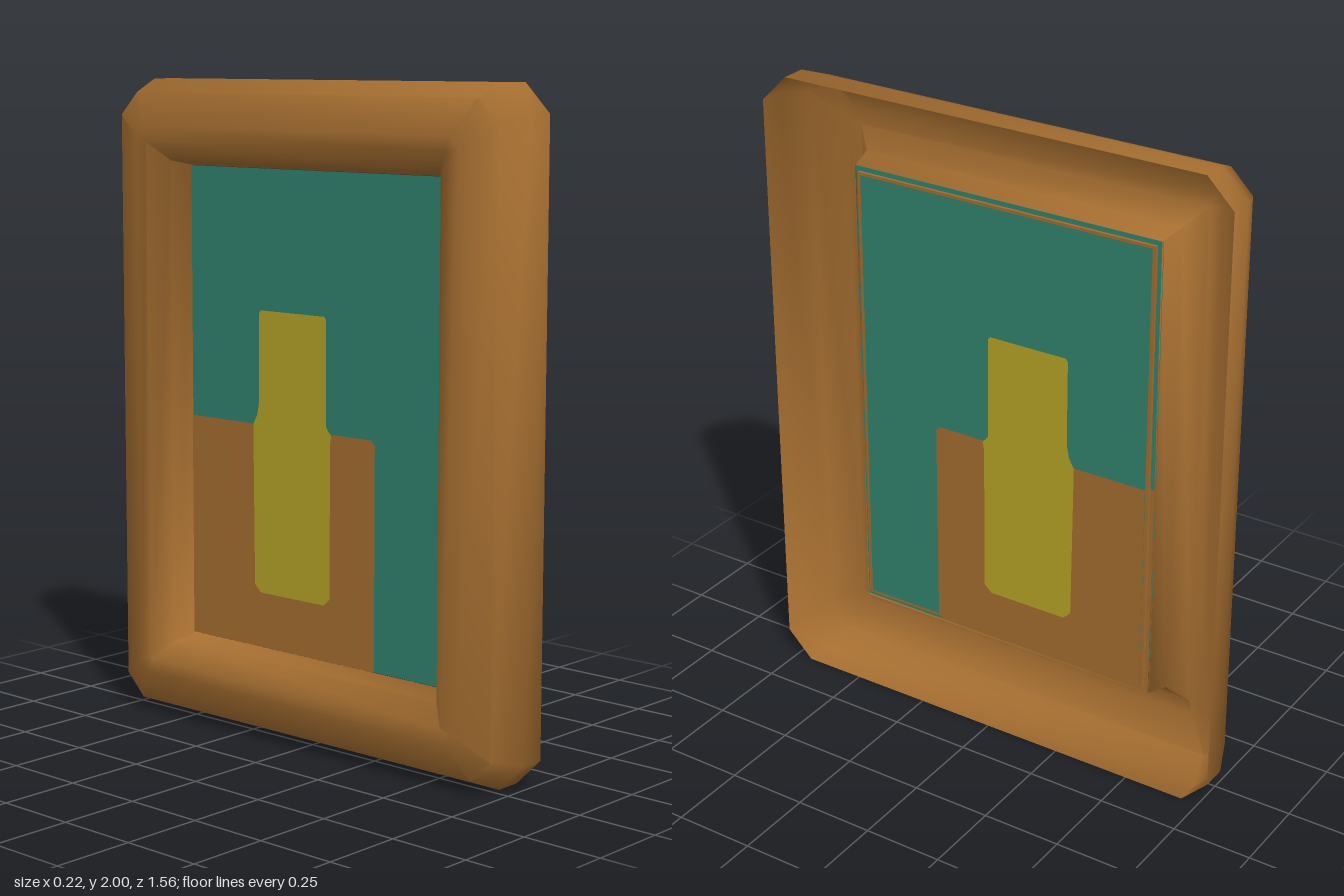
import * as THREE from 'three';
import { toCreasedNormals } from 'three/addons/utils/BufferGeometryUtils.js';

const mat = (name, color) => {
  const m = new THREE.MeshStandardMaterial({ color, side: THREE.DoubleSide });
  m.name = name;
  return m;
};

// Hollow moulded frame: chamfered rectangles swept through a profile
function frameGeometry() {
  // [x, inset from the outer edge, corner chamfer]
  const profile = [
    [0.11, 0, 0.085], [0.03, 0, 0.085], [-0.07, 0.04, 0.07],
    [-0.11, 0.145, 0.03], [-0.11, 0.19, 0.001],
    [-0.06, 0.245, 0.001], [0.02, 0.262, 0.001],
  ];
  const pos = [], index = [];
  for (const [x, inset, c] of profile) {
    const w = 0.78 - inset, h = 1 - inset;
    const ring = [
      [w, -h + c], [w, h - c], [w - c, h], [-w + c, h],
      [-w, h - c], [-w, -h + c], [-w + c, -h], [w - c, -h],
    ];
    for (const [z, y] of ring) pos.push(x, y + 1, z);
  }
  for (let i = 0; i < profile.length - 1; i++) {
    for (let j = 0; j < 8; j++) {
      const a = i * 8 + j, b = i * 8 + (j + 1) % 8;
      index.push(a, b, a + 8, b, b + 8, a + 8);
    }
  }
  const g = new THREE.BufferGeometry();
  g.setAttribute('position', new THREE.Float32BufferAttribute(pos, 3));
  g.setIndex(index);
  return toCreasedNormals(g, 0.95);
}

const polygon = (pts) => new THREE.Shape(pts.map(([u, v]) => new THREE.Vector2(u, v)));

export function createModel() {
  const group = new THREE.Group();
  const wood = mat('brown wood', 0xa46d30);
  const teal = mat('teal', 0x31826d);
  const yellow = mat('yellow', 0xb5a226);

  const add = (name, geometry, material, parent = group) => {
    const m = new THREE.Mesh(geometry, material);
    m.name = name;
    parent.add(m);
    return m;
  };

  add('frame', frameGeometry(), wood);

  // Flat painted picture facing +x or -x, in three thin layers
  const picture = (name, x, half, y0, y1, side) => {
    const g = new THREE.Group();
    g.name = name;
    group.add(g);
    const layer = (part, pts, material, n) => {
      const geo = new THREE.ShapeGeometry(polygon(pts));
      geo.rotateY(Math.PI / 2);
      add(part, geo, material, g).position.x = x + side * n * 0.002;
    };
    layer('background', [[-half, y0], [half, y0], [half, y1], [-half, y1]], teal, 0);
    layer('table', [
      [-0.235, y0], [half, y0], [half, 0.96], [-0.22, 0.96], [-0.235, 0.945],
    ], wood, 1);
    layer('bottle', [
      [-0.06, 0.46], [-0.035, 0.437], [0.225, 0.437], [0.25, 0.46],
      [0.255, 0.96], [0.238, 0.99], [0.23, 1.03], [0.23, 1.3], [0.222, 1.31],
      [-0.037, 1.31], [-0.045, 1.3], [-0.045, 0.98], [-0.065, 0.955], [-0.06, 0.93],
    ], yellow, 2);
  };

  // Picture sheet in the opening, painted on both sides
  picture('backPicture', 0.014, 0.52, 0.265, 1.737, -1);
  picture('sheetBorder', 0.015, 0.52, 0.265, 1.737, 1);

  // Raised backing board with its own picture
  const board = add('backingBoard', new THREE.BoxGeometry(0.009, 1.44, 1.01), wood);
  board.position.set(0.0245, 1.003, 0);
  picture('frontPicture', 0.03, 0.494, 0.292, 1.714, 1);

  return group;
}
